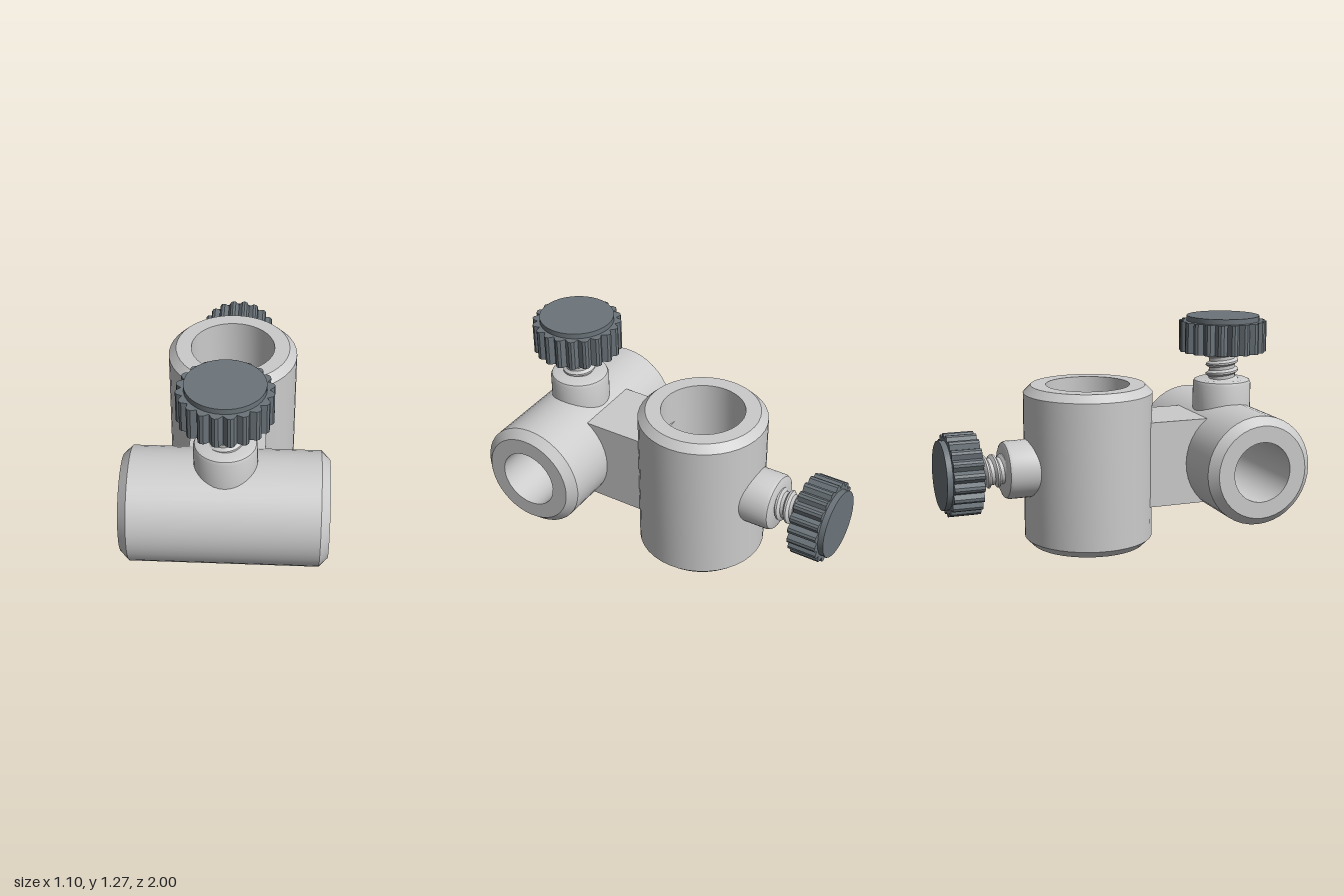
import * as THREE from 'three';
import { toCreasedNormals } from 'three/addons/utils/BufferGeometryUtils.js';

const grey = new THREE.MeshStandardMaterial({ color: 0xcccccc });
const slate = new THREE.MeshStandardMaterial({ color: 0x6b747a });

function part(name, geometry, material = grey) {
  const mesh = new THREE.Mesh(geometry, material);
  mesh.name = name;
  return mesh;
}

// Smooth turned part about y, with crisp edges
function turned(profile, segments = 40) {
  const points = profile.map(([r, y]) => new THREE.Vector2(r, y));
  return toCreasedNormals(new THREE.LatheGeometry(points, segments), 0.5);
}

// Open pipe with chamfered rims, centred on the origin
function pipe(inner, outer, length, chamfer) {
  const h = length / 2, rim = outer - chamfer, y = h - chamfer;
  return turned([[inner, -h], [rim, -h], [outer, -y], [outer, y], [rim, h], [inner, h], [inner, -h]]);
}

// Helical ridge with a triangular section, wound around y
function thread(core, crest, from, to, pitch) {
  const perTurn = 28, turns = (to - from) / pitch, steps = Math.round(turns * perTurn);
  const positions = [], index = [];
  for (let i = 0; i <= steps; i++) {
    const a = (i / perTurn) * Math.PI * 2, y = from + (i / perTurn) * pitch;
    for (const [r, dy] of [[core, -0.4], [crest, -0.1], [crest, 0.1], [core, 0.4]]) {
      positions.push(r * Math.cos(a), y + dy * pitch, -r * Math.sin(a));
    }
    if (i === steps) break;
    for (let k = 0; k < 3; k++) {
      const p = i * 4 + k, q = p + 4;
      index.push(p, q, q + 1, p, q + 1, p + 1);
    }
  }
  const geometry = new THREE.BufferGeometry();
  geometry.setAttribute('position', new THREE.Float32BufferAttribute(positions, 3));
  geometry.setIndex(index);
  return toCreasedNormals(geometry, 0.5);
}

// Toothed grip, extruded along +y from y = 0
function grip(radius, height) {
  const shape = new THREE.Shape(), teeth = 20;
  for (let i = 0; i < teeth; i++) {
    for (const [t, r] of [[0, 0.89], [0.3, 0.99], [0.5, 1.01], [0.72, 0.99]]) {
      const a = ((i + t) / teeth) * Math.PI * 2;
      const x = Math.cos(a) * r * radius, y = Math.sin(a) * r * radius;
      if (i === 0 && t === 0) shape.moveTo(x, y);
      else shape.lineTo(x, y);
    }
  }
  shape.closePath();
  return new THREE.ExtrudeGeometry(shape, { depth: height, bevelEnabled: false }).rotateX(-Math.PI / 2);
}

// Boss, screw and knob along +y, measured from the axis of the pipe
function clampScrew(name, d) {
  const group = new THREE.Group();
  group.name = name;
  group.add(part('boss', turned([
    [0, d.bossStart], [d.bossRadius, d.bossStart], [d.bossRadius, d.bossEnd - 0.025],
    [d.bossRadius - 0.007, d.bossEnd - 0.008], [d.bossRadius - 0.025, d.bossEnd], [0, d.bossEnd],
  ])));
  group.add(part('screwCore', turned([
    [0, d.tip], [0.076, d.tip], [0.076, d.knobStart + 0.01], [0, d.knobStart + 0.01],
  ], 28)));
  group.add(part('screwThread', thread(0.07, 0.094, d.bossEnd - 0.04, d.knobStart + 0.01, 0.055)));
  const knob = grip(d.knobRadius, d.capStart - d.knobStart).translate(0, d.knobStart, 0);
  group.add(part('knobGrip', knob, slate));
  const capRadius = d.knobRadius * 0.84;
  group.add(part('knobCap', turned([
    [0, d.capStart - 0.01], [capRadius, d.capStart - 0.01], [capRadius, d.capEnd], [0, d.capEnd],
  ]), slate));
  return group;
}

export function createModel() {
  const model = new THREE.Group();
  model.name = 'crossClamp';

  // Front sleeve lying along x
  const crossSleeve = part('crossSleeve', pipe(0.17, 0.31, 1.1, 0.047));
  crossSleeve.rotation.z = Math.PI / 2;
  crossSleeve.position.set(0, 0.46, 0.69);
  model.add(crossSleeve);

  // Rear sleeve standing along y
  const uprightSleeve = part('uprightSleeve', pipe(0.237, 0.365, 0.916, 0.042));
  uprightSleeve.position.set(0, 0.458, -0.14);
  model.add(uprightSleeve);

  // Bridge joining the sleeves
  const bridge = part('bridge', new THREE.BoxGeometry(0.41, 0.49, 0.43));
  bridge.position.set(0, 0.465, 0.3);
  model.add(bridge);

  // Clamp screw on top of the front sleeve
  const topScrew = clampScrew('topClampScrew', {
    bossStart: 0.2, bossEnd: 0.44, bossRadius: 0.168, tip: 0.175,
    knobStart: 0.602, capStart: 0.778, capEnd: 0.808, knobRadius: 0.25,
  });
  topScrew.position.set(0, 0.46, 0.69);
  model.add(topScrew);

  // Clamp screw at the back of the upright sleeve
  const backScrew = clampScrew('backClampScrew', {
    bossStart: 0.28, bossEnd: 0.505, bossRadius: 0.163, tip: 0.188,
    knobStart: 0.66, capStart: 0.828, capEnd: 0.86, knobRadius: 0.23,
  });
  backScrew.rotation.x = -Math.PI / 2;
  backScrew.position.set(0, 0.46, -0.14);
  model.add(backScrew);

  return model;
}
